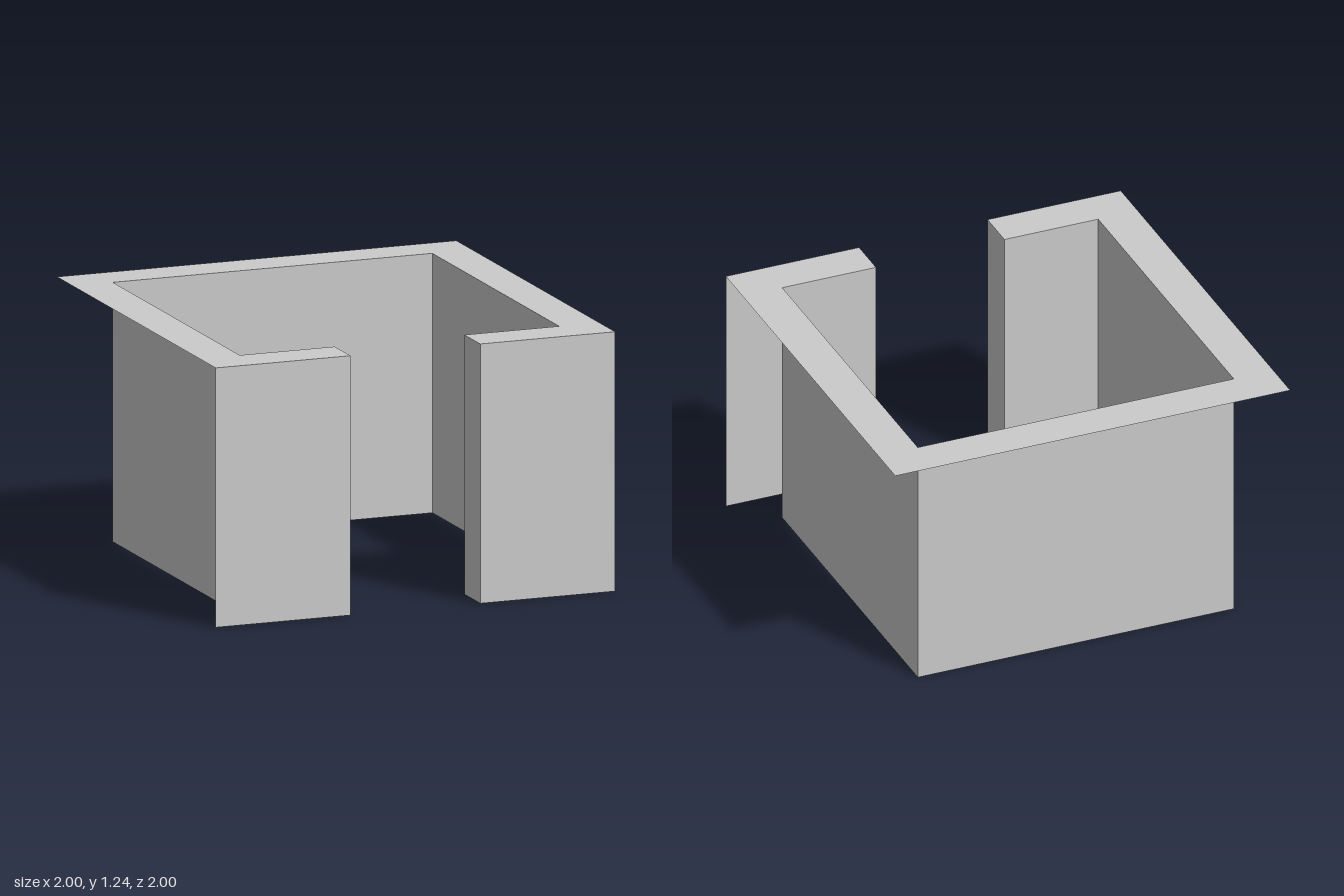
import * as THREE from 'three';

const HEIGHT = 1.24, OUTER = 1, INNER = 0.8, DOOR = 0.325;

export function createModel() {
  const model = new THREE.Group();
  const material = new THREE.MeshStandardMaterial({ color: 0xcccccc, side: THREE.DoubleSide });

  const add = (name, geometry) => {
    const mesh = new THREE.Mesh(geometry, material);
    mesh.name = name;
    model.add(mesh);
    return mesh;
  };

  // Thin upright panel between two floor points [x, z], facing left of its travel
  const wall = (name, [x1, z1], [x2, z2]) => {
    const panel = add(name, new THREE.PlaneGeometry(Math.hypot(x2 - x1, z2 - z1), HEIGHT));
    panel.position.set((x1 + x2) / 2, HEIGHT / 2, (z1 + z2) / 2);
    panel.rotation.y = Math.atan2(z1 - z2, x2 - x1);
  };

  // Room walls, door jambs and the front facing panels
  wall('backWall', [INNER, -INNER], [-INNER, -INNER]);
  for (const [side, s] of [['left', 1], ['right', -1]]) {
    const run = (name, a, b) => (s > 0 ? wall(side + name, a, b)
      : wall(side + name, [-b[0], b[1]], [-a[0], a[1]]));
    run('SideWall', [INNER, INNER], [INNER, -INNER]);
    run('FrontInnerWall', [INNER, INNER], [DOOR, INNER]);
    run('DoorJamb', [DOOR, INNER], [DOOR, OUTER]);
    run('FrontPanel', [DOOR, OUTER], [OUTER, OUTER]);
  }

  // Flat rim over the walls, open at the doorway (shape y becomes -z)
  const half = [[DOOR, -OUTER], [OUTER, -OUTER], [OUTER, OUTER]];
  const innerHalf = [[INNER, INNER], [INNER, -INNER], [DOOR, -INNER]];
  const mirror = (points) => points.map(([x, y]) => [-x, y]).reverse();
  const outline = [...half, ...mirror(half), ...mirror(innerHalf), ...innerHalf];
  const shape = new THREE.Shape(outline.map(([x, y]) => new THREE.Vector2(x, y)));
  const rim = add('topRim', new THREE.ShapeGeometry(shape));
  rim.rotation.x = -Math.PI / 2;
  rim.position.y = HEIGHT;

  return model;
}
